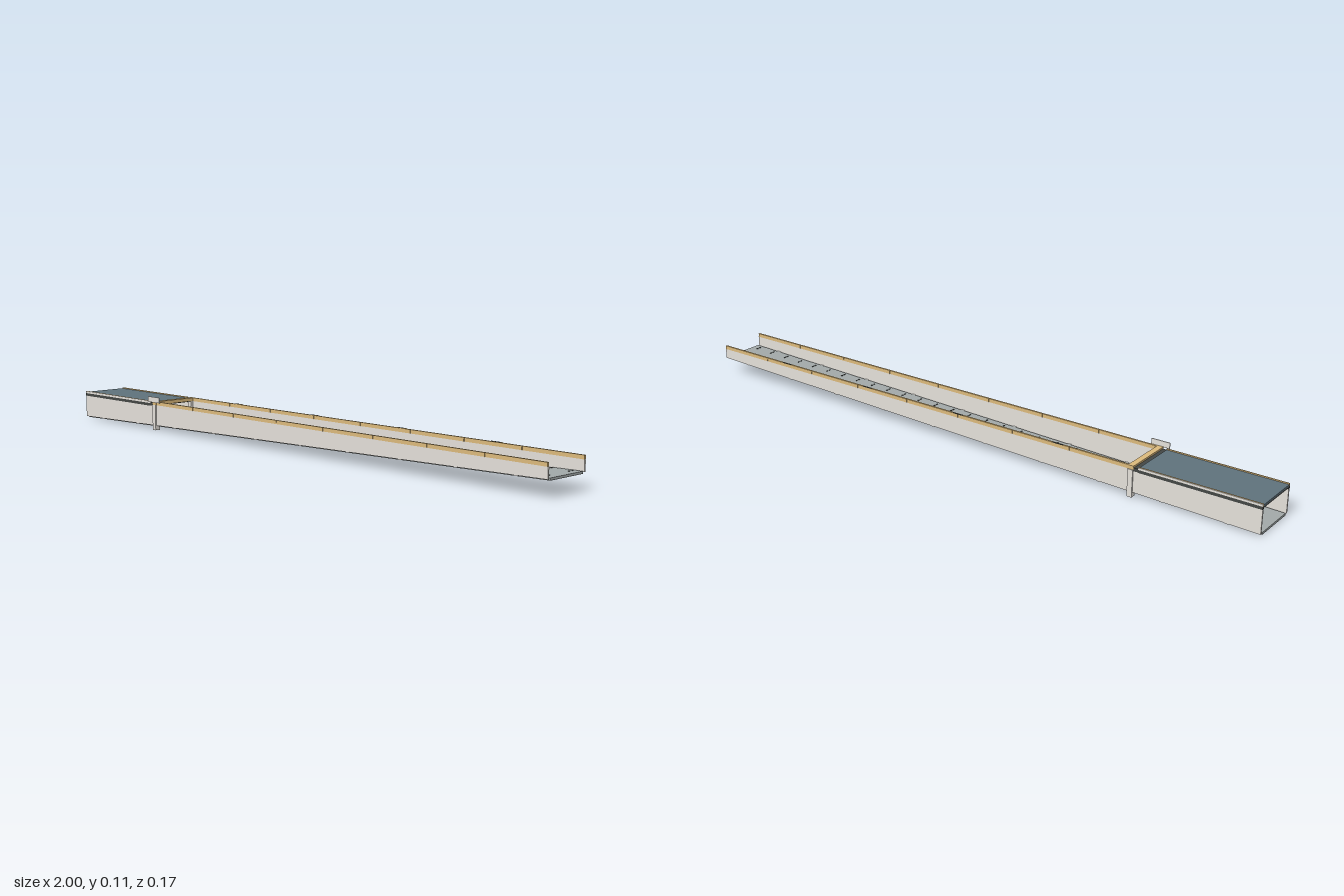
import * as THREE from 'three';

const mat = (name, color) => {
  const m = new THREE.MeshStandardMaterial({ color });
  m.name = name;
  return m;
};

const MID = -0.002;   // centre line of the trough in z
const HALF = 0.081;   // half of the outer width
const GATE = -0.602;  // x of the gate frame
const COVER_END = -0.625;
// underside of the sloping floor
const floorY = (x) => 0.002 + (x + 1) * 0.0228;

export function createModel() {
  const root = new THREE.Group();
  root.name = 'slopedTrough';
  const steel = mat('pale steel', 0xe4e0da);
  const deck = mat('floor grey', 0xa2a9a9);
  const under = mat('underside grey', 0x7d8280);
  const dark = mat('dark grey', 0x434644);
  const slate = mat('slate blue', 0x5f727c);
  const gold = mat('tan gold', 0xdcba7c);

  const add = (name, geo, material, x = 0, y = 0, z = 0, parent = root) => {
    const m = new THREE.Mesh(geo, material);
    m.name = name;
    m.position.set(x, y, z);
    parent.add(m);
    return m;
  };
  // box given by its limits
  const box = (name, material, x0, x1, y0, y1, z0, z1) =>
    add(name, new THREE.BoxGeometry(x1 - x0, y1 - y0, z1 - z0), material,
      (x0 + x1) / 2, (y0 + y1) / 2, (z0 + z1) / 2);
  // side profile extruded across z
  const slab = (name, material, pts, z0, z1) =>
    add(name, new THREE.ExtrudeGeometry(
      new THREE.Shape(pts.map(([x, y]) => new THREE.Vector2(x, y))),
      { depth: z1 - z0, bevelEnabled: false }), material, 0, 0, z0);
  const sloped = (lift, thick) => [
    [-1, floorY(-1) + lift], [1, floorY(1) + lift],
    [1, floorY(1) + lift + thick], [-1, floorY(-1) + lift + thick]];

  // sloping floor: darker underside and grey running surface
  slab('floorUnderside', under, sloped(0, 0.002), MID - 0.0695, MID + 0.0695);
  slab('floorSurface', deck, sloped(0.002, 0.005), MID - 0.0695, MID + 0.0695);

  // bolt heads in pairs along the floor
  const bolts = new THREE.Group();
  bolts.name = 'floorBolts';
  root.add(bolts);
  const boltGeo = new THREE.BoxGeometry(0.003, 0.002, 0.006);
  for (let i = 0; i < 30; i++) {
    const x = -0.925 + i * 0.0655;
    for (const z of [-0.061, -0.048, 0.04, 0.052]) {
      add('floorBolt', boltGeo, dark, x, floorY(x) + 0.0078, z, bolts);
    }
  }

  for (const side of [-1, 1]) {
    const label = side > 0 ? 'front' : 'back';
    // z limits measured inwards from the outer face
    const span = (a, b) => [MID + side * (HALF - a), MID + side * (HALF - b)].sort((p, q) => p - q);

    // side wall with a sloping lower edge, lower under the cover
    slab(label + 'Wall', steel, [
      [-1, floorY(-1) + 0.004], [1, floorY(1) + 0.004], [1, 0.084],
      [GATE, 0.084], [GATE, 0.08], [-1, 0.08]], ...span(0.001, 0.006));

    // capping rail in sections
    for (let i = 0; i < 8; i++) {
      const x0 = i === 0 ? GATE + 0.009 : -0.6 + i * 0.2 + 0.001;
      box(label + 'Rail', gold, x0, -0.4 + i * 0.2 - 0.001, 0.084, 0.0955, ...span(0, 0.006));
    }

    // brackets joining floor and wall
    for (let i = 0; i < 10; i++) {
      const x = -0.9 + i * 0.2;
      const y = floorY(x);
      box(label + 'Bracket', steel, x - 0.006, x + 0.006, y + 0.002, y + 0.006, ...span(0.002, 0.013));
    }

    // edge of the covered section: dark band, pale trim, gold lip inside
    box(label + 'CoverEdge', dark, -1, COVER_END, 0.079, 0.088, ...span(0, 0.008));
    box(label + 'CoverTrim', steel, -1, COVER_END, 0.088, 0.0945, ...span(0, 0.002));
    box(label + 'CoverLip', gold, -1, COVER_END, 0.088, 0.0955, ...span(0.002, 0.005));

    // gate post
    box(label + 'GatePost', steel, GATE - 0.008, GATE + 0.008, 0.0, 0.084, ...span(-0.003, 0.014));
  }

  // cover panel
  box('coverUnderside', dark, -1, COVER_END, 0.083, 0.087, MID - HALF + 0.008, MID + HALF - 0.008);
  box('coverPanel', slate, -1, COVER_END, 0.087, 0.092, MID - HALF + 0.005, MID + HALF - 0.005);

  // gate crossbar and the dark seam before it
  box('gateCrossbar', gold, GATE - 0.009, GATE + 0.009, 0.084, 0.0955, MID - HALF - 0.001, MID + HALF + 0.001);
  box('gateSeam', dark, COVER_END, GATE - 0.009, 0.08, 0.09, MID - HALF, MID + HALF);

  // small plate on the gate
  box('gatePlate', steel, -0.63, -0.57, 0.093, 0.111, 0.082, 0.085);

  // clips on the back rail
  for (const x of [-0.36, 0, 0.36, 0.71]) {
    box('railClip', dark, x - 0.018, x + 0.018, 0.095, 0.0965, MID - HALF - 0.001, MID - HALF + 0.003);
  }
  return root;
}
